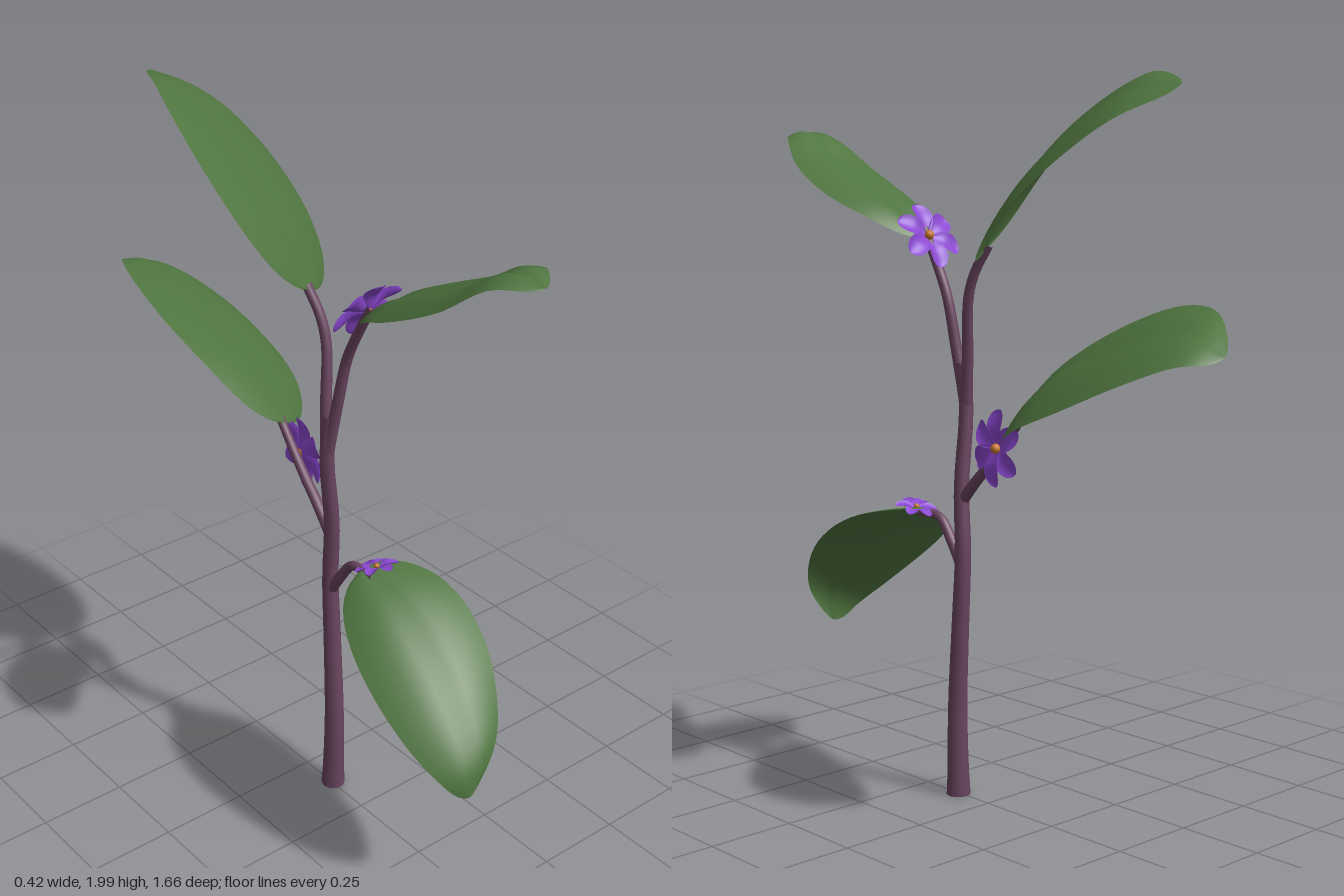
import * as THREE from 'three';

const material = (color, side = THREE.FrontSide) => new THREE.MeshStandardMaterial({ color, side });
const vec = (p) => new THREE.Vector3(...p);
const curveOf = (points) => new THREE.CatmullRomCurve3(points.map(vec));

// Tapered round twig along a path, slightly flared at its start
function twig(name, points, r0, r1, mat) {
  const rings = 20, sides = 10, curve = curveOf(points);
  const geo = new THREE.TubeGeometry(curve, rings, 1, sides);
  const pos = geo.attributes.position, v = new THREE.Vector3();
  for (let i = 0; i < pos.count; i++) {
    const t = Math.floor(i / (sides + 1)) / rings;
    const c = curve.getPointAt(t);
    v.fromBufferAttribute(pos, i).sub(c).multiplyScalar(r0 + (r1 - r0) * Math.sqrt(t)).add(c);
    pos.setXYZ(i, v.x, v.y, v.z);
  }
  const mesh = new THREE.Mesh(geo, mat);
  mesh.name = name;
  return mesh;
}

// Blade swept along a midrib: `side` is the half width, `cup` drops the edges,
// `fold` sinks the midrib crease; powers a and b round off base and tip
function blade({ points, side, cup, fold = 0, up = [0, 1, 0], a = 0.45, b = 0.65 }) {
  const rows = 28, cols = 12, curve = curveOf(points), s = vec(side), upV = vec(up);
  const peak = a / (a + b), top = peak ** a * (1 - peak) ** b;
  const verts = [], index = [];
  for (let i = 0; i <= rows; i++) {
    const u = (1 - Math.cos((Math.PI * i) / rows)) / 2;
    const w = (u ** a * Math.max(0, 1 - u) ** b) / top;
    const centre = curve.getPointAt(u);
    const n = new THREE.Vector3().crossVectors(s, curve.getTangentAt(u)).normalize();
    if (n.dot(upV) < 0) n.negate();
    for (let j = 0; j <= cols; j++) {
      const k = (j / cols) * 2 - 1;
      const lift = w * (cup * (0.4 - k * k) - fold * Math.exp(-k * k * 30));
      const p = centre.clone().addScaledVector(s, k * w).addScaledVector(n, lift);
      verts.push(p.x, p.y, p.z);
      if (i < rows && j < cols) {
        const q = i * (cols + 1) + j, r = q + cols + 1;
        index.push(q, q + 1, r, q + 1, r + 1, r);
      }
    }
  }
  const geo = new THREE.BufferGeometry();
  geo.setAttribute('position', new THREE.Float32BufferAttribute(verts, 3));
  geo.setIndex(index);
  // Wind the faces so the upper side is the front
  geo.computeVertexNormals();
  const mid = (rows / 2) * (cols + 1) + cols / 2;
  if (new THREE.Vector3().fromBufferAttribute(geo.attributes.normal, mid).dot(upV) < 0) {
    geo.setIndex(index.reverse());
    geo.computeVertexNormals();
  }
  return geo;
}

// Six-petalled flower facing `normal`
function flower(name, centre, normal, r, petalMat, centreMat) {
  const group = new THREE.Group();
  group.name = name;
  const petalGeo = blade({
    points: [[0, r * 0.08, 0], [0, r * 0.5, r * 0.12], [0, r, r * 0.02]],
    side: [r * 0.3, 0, 0], cup: -r * 0.1, up: [0, 0, 1], a: 0.7, b: 0.5,
  });
  for (let i = 0; i < 6; i++) {
    const petal = new THREE.Mesh(petalGeo, petalMat);
    petal.name = 'petal';
    petal.rotation.z = (i * Math.PI) / 3;
    group.add(petal);
  }
  const heart = new THREE.Mesh(new THREE.SphereGeometry(r * 0.13, 12, 8), centreMat);
  heart.name = 'flowerCentre';
  heart.position.z = r * 0.08;
  group.add(heart);
  group.position.set(...centre);
  group.quaternion.setFromUnitVectors(new THREE.Vector3(0, 0, 1), vec(normal).normalize());
  return group;
}

export function createModel() {
  const model = new THREE.Group();
  model.name = 'floweringPlant';
  const bark = material(0x6a4560);
  const green = material(0x507540, THREE.DoubleSide);
  const purple = material(0x8c48d2, THREE.DoubleSide);
  const orange = material(0xc87828);

  // Stem and branches
  model.add(
    twig('stem', [[0.005, 0, 0.115], [0.005, 0.25, 0.118], [0.01, 0.5, 0.1], [0.012, 0.7, 0.087],
      [0.005, 0.88, 0.1], [-0.018, 1.1, 0.105], [-0.012, 1.22, 0.112]], 0.034, 0.019, bark),
    twig('upperFrontBranch', [[-0.018, 1.1, 0.105], [-0.008, 1.27, 0.137], [0, 1.4, 0.162],
      [0, 1.5, 0.21], [0, 1.58, 0.255]], 0.019, 0.013, bark),
    twig('upperBackBranch', [[-0.018, 1.1, 0.105], [-0.005, 1.25, 0.085], [0.015, 1.4, 0.06],
      [0.015, 1.47, 0.035], [0.005, 1.545, -0.01]], 0.019, 0.013, bark),
    twig('lowerFrontBranch', [[0.012, 0.66, 0.09], [0.01, 0.725, 0.135], [0.01, 0.785, 0.185],
      [0.01, 0.79, 0.27]], 0.019, 0.012, bark),
    twig('lowerBackBranch', [[0.005, 0.84, 0.1], [0.01, 0.91, 0.03], [0.018, 0.98, -0.05],
      [0.025, 1.09, -0.15]], 0.019, 0.012, bark),
  );
  const base = new THREE.Mesh(new THREE.CircleGeometry(0.034, 10), bark);
  base.name = 'stemBase';
  base.rotation.x = Math.PI / 2;
  base.position.set(0.005, 0, 0.115);
  model.add(base);

  // Leaves
  const leaves = {
    upperFrontLeaf: {
      points: [[0, 1.555, 0.25], [0.01, 1.63, 0.35], [0.015, 1.685, 0.46], [0.01, 1.765, 0.62],
        [0.005, 1.84, 0.74], [0, 1.835, 0.83]],
      side: [0.15, 0.005, 0], cup: 0.04, fold: 0.016, a: 0.55,
    },
    lowerFrontLeaf: {
      points: [[0.01, 0.8, 0.23], [0.005, 0.745, 0.38], [-0.005, 0.665, 0.515], [-0.02, 0.565, 0.635],
        [-0.035, 0.46, 0.72], [-0.05, 0.38, 0.74]],
      side: [0.165, 0.055, 0.015], cup: 0.04, fold: 0.006,
    },
    upperBackLeaf: {
      points: [[0.01, 1.53, 0], [0.005, 1.645, -0.08], [0, 1.765, -0.2], [0, 1.875, -0.37],
        [0, 1.935, -0.52], [-0.01, 1.945, -0.66]],
      side: [0.205, -0.095, -0.085], cup: 0.025, fold: 0.006,
    },
    lowerBackLeaf: {
      points: [[0.03, 1.08, -0.13], [0.025, 1.195, -0.25], [0.02, 1.28, -0.43], [0.015, 1.34, -0.62],
        [0.015, 1.35, -0.75], [0.015, 1.31, -0.83]],
      side: [0.2, -0.1, -0.045], cup: 0.03, fold: 0.006, b: 0.6,
    },
  };
  for (const [name, spec] of Object.entries(leaves)) {
    const leaf = new THREE.Mesh(blade(spec), green);
    leaf.name = name;
    model.add(leaf);
  }

  // Flowers
  model.add(
    flower('topFlower', [0.005, 1.56, 0.235], [0, 0.54, -0.84], 0.1, purple, orange),
    flower('middleFlower', [0.035, 1.01, -0.077], [1, 0.05, 0.15], 0.105, purple, orange),
    flower('lowerFlower', [0.035, 0.805, 0.255], [0, 0.95, -0.3], 0.06, purple, orange),
  );
  return model;
}
